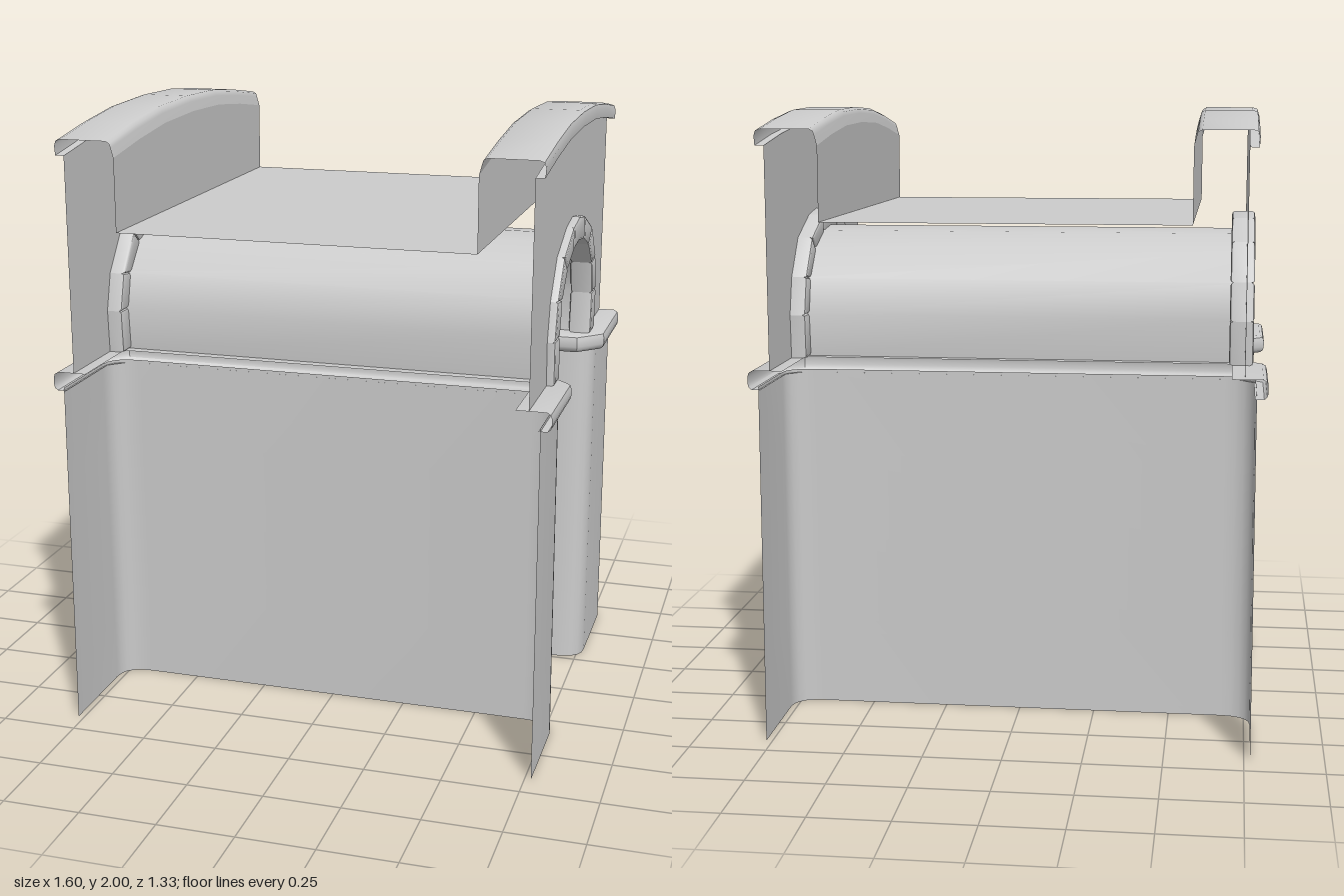
import * as THREE from 'three';
import { toCreasedNormals } from 'three/addons/utils/BufferGeometryUtils.js';

const material = new THREE.MeshStandardMaterial({ color: 0xcccccc, side: THREE.DoubleSide });

function add(parent, name, geometry) {
  const mesh = new THREE.Mesh(geometry, material);
  mesh.name = name;
  parent.add(mesh);
  return mesh;
}

// Skin a surface over rows of [x, y, z] points
function loft(rows, crease = 0.9) {
  const n = rows[0].length, index = [];
  for (let r = 0; r < rows.length - 1; r++) {
    for (let i = 0; i < n - 1; i++) {
      const a = r * n + i, b = a + 1, c = a + n, d = c + 1;
      index.push(a, b, c, b, d, c);
    }
  }
  const g = new THREE.BufferGeometry();
  g.setAttribute('position', new THREE.Float32BufferAttribute(rows.flat(2), 3));
  g.setIndex(index);
  g.computeVertexNormals();
  return toCreasedNormals(g, crease);
}

// Half arch outlines as [z, y], from springing to crown
const INNER = [[0.3, 1.2], [0.313, 1.34], [0.286, 1.45], [0.205, 1.53], [0.1, 1.57], [0, 1.58]];
const OUTER = [[0.385, 1.2], [0.393, 1.34], [0.36, 1.46], [0.265, 1.58], [0.105, 1.645], [0, 1.66]];

// Full arch line, t = 0 at the inner outline and 1 at the outer
function archLine(t) {
  const half = INNER.map(([z, y], i) => [
    THREE.MathUtils.lerp(z, OUTER[i][0], t), THREE.MathUtils.lerp(y, OUTER[i][1], t)]);
  return [...half, ...half.slice(0, -1).reverse().map(([z, y]) => [-z, y])];
}

// U-shaped plan line round a pier: side, corner, inner face, corner, side
const END = 0.667;
function planLine(x, z, y, cutX, cutZ, steps) {
  const half = [[x, y, END]];
  for (let i = 0; i <= steps; i++) {
    const t = i / steps, u = 1 - t;
    half.push([x - cutX * t * t, y, z + cutZ * u * u]);
  }
  return [...half, ...half.slice().reverse().map(([a, b, c]) => [-a, b, c])];
}

function createPier() {
  const pier = new THREE.Group();
  const rows = [];
  for (let i = 0; i <= 4; i++) {
    const t = i / 4;
    rows.push(planLine(0.77 - 0.004 * t, 0.265 + 0.025 * t, 1.15 * t, 0.1, 0.08, 5));
  }
  add(pier, 'pierWall', loft(rows));

  // Rounded ledge: [inset, height]
  const profile = [[0.04, 1.14], [0.012, 1.14], [0.003, 1.148], [0, 1.16],
    [0, 1.18], [0.004, 1.193], [0.015, 1.2], [0.11, 1.2]];
  add(pier, 'ledge', loft(profile.map(([d, y]) => {
    const cut = 0.08 - 0.586 * d;
    return planLine(0.8 - d, 0.25 + d, y, cut, cut, 1);
  }), 0.7));
  return pier;
}

// Height of the cap's underside along z
const CAP = [[-END, 1.89], [-0.46, 1.92], [-0.245, 1.943], [0, 1.95], [0.245, 1.943], [0.46, 1.92], [END, 1.89]];

function createSide() {
  const side = new THREE.Group();

  // Spandrel wall with the arch cut from its lower edge
  const outline = [[END, 1.2], ...CAP.slice().reverse(), [-END, 1.2], ...archLine(0.4).reverse()];
  const shape = new THREE.Shape(outline.map(([z, y]) => new THREE.Vector2(z, y)));
  const wall = new THREE.ShapeGeometry(shape);
  wall.rotateY(Math.PI / 2);
  wall.translate(0.73, 0, 0);
  add(side, 'spandrelWall', wall);

  // Curved parapet cap: [x, height above underside]
  const cap = [[0.73, 0], [0.758, 0], [0.76, 0.03], [0.755, 0.045], [0.74, 0.05],
    [0.59, 0.05], [0.578, 0.043], [0.574, 0.03], [0.566, 0]];
  add(side, 'parapetCap', loft(cap.map(([x, h]) => CAP.map(([z, y]) => [x, y + h, z])).reverse(), 0.8));

  // Inner face of the parapet, down to the deck
  add(side, 'parapetInnerFace', loft([
    CAP.map(([z, y]) => [0.566, y, z]),
    CAP.map(([z]) => [0.566, 1.66, z])]));

  // Arch stones; the keystone spans the two crown segments
  const inner = archLine(0), outer = archLine(1);
  const spans = [[0, 1], [1, 2], [2, 3], [3, 4], [4, 6], [6, 7], [7, 8], [8, 9], [9, 10]];
  const stones = new THREE.Group();
  stones.name = 'archStones';
  for (const [a, b] of spans) {
    const ring = [...outer.slice(a, b + 1), ...inner.slice(a, b + 1).reverse()];
    const stone = new THREE.ExtrudeGeometry(
      new THREE.Shape(ring.map(([z, y]) => new THREE.Vector2(z, y))),
      { depth: 0.056, bevelThickness: 0.01, bevelSize: 0.01, bevelOffset: -0.01, bevelSegments: 2 });
    stone.rotateY(Math.PI / 2);
    stone.translate(0.69, 0, 0);
    add(stones, 'archStone', toCreasedNormals(stone, 0.7));
  }
  side.add(stones);
  return side;
}

export function createModel() {
  const model = new THREE.Group();
  model.name = 'bridgeSection';

  const frontPier = createPier();
  frontPier.name = 'frontPier';
  const backPier = createPier();
  backPier.name = 'backPier';
  backPier.scale.z = -1;

  const leftSide = createSide();
  leftSide.name = 'leftSide';
  const rightSide = createSide();
  rightSide.name = 'rightSide';
  rightSide.scale.x = -1;
  model.add(frontPier, backPier, leftSide, rightSide);

  // Barrel vault between the two arches
  const line = archLine(0.3);
  add(model, 'vault', loft([0.73, -0.73].map(x => line.map(([z, y]) => [x, y, z]))));

  // Flat roadway
  const deck = new THREE.PlaneGeometry(1.132, 2 * END);
  deck.rotateX(-Math.PI / 2);
  add(model, 'deck', deck).position.y = 1.66;

  return model;
}
